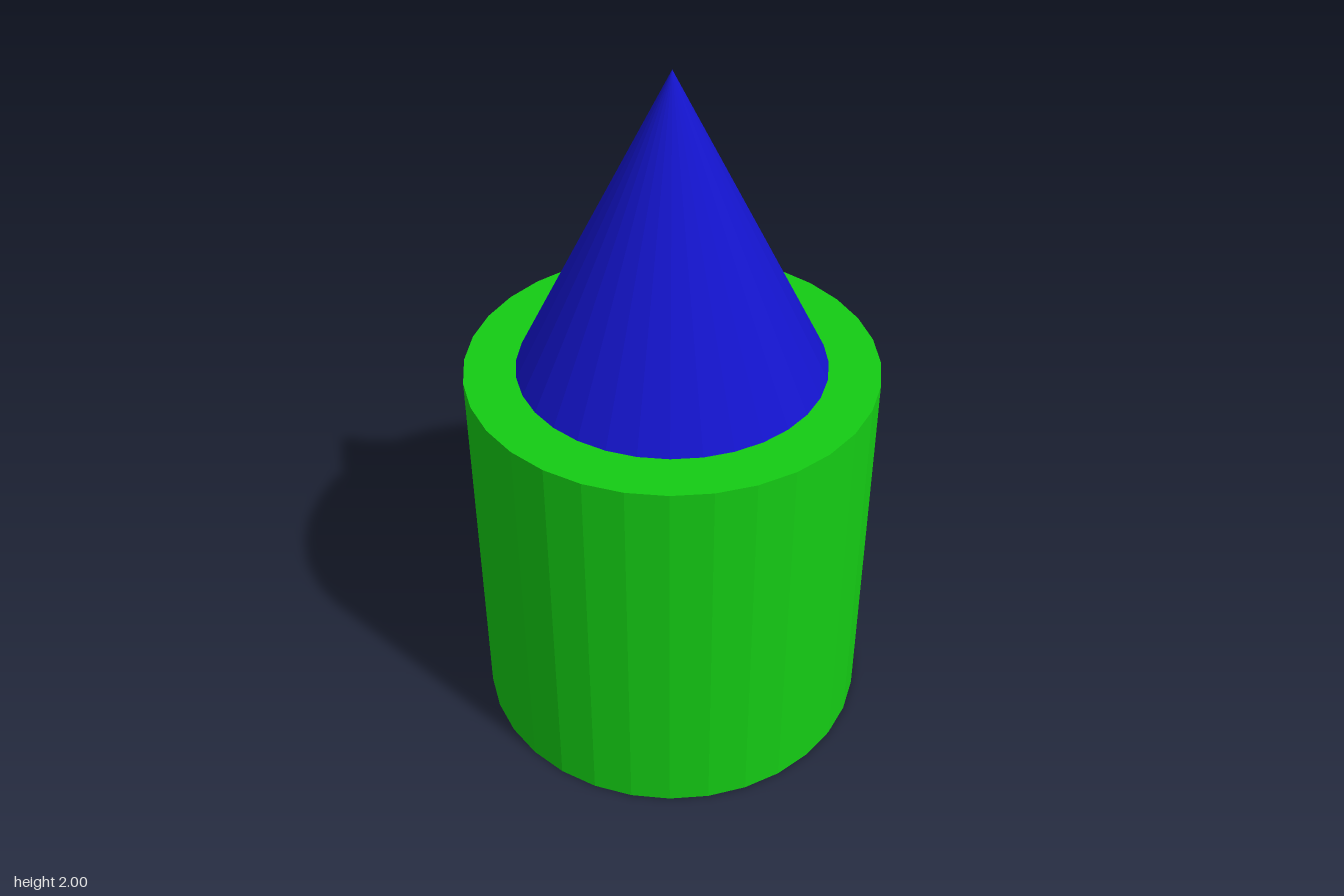
import * as THREE from 'three';

const SIDES = 32;
const BODY_RADIUS = 4 / 7;
const BODY_HEIGHT = 8 / 7;
const CONE_RADIUS = 3 / 7;
const CONE_HEIGHT = 6 / 7;

// Adds a faceted part whose base rests at the given height.
function addPart(group, name, geometry, height, baseY, color) {
  const material = new THREE.MeshStandardMaterial({ color, flatShading: true });
  const mesh = new THREE.Mesh(geometry, material);
  mesh.name = name;
  mesh.position.y = baseY + height / 2;
  group.add(mesh);
}

export function createModel() {
  const model = new THREE.Group();
  model.name = 'coneOnCylinder';

  // Green drum standing on the ground
  const body = new THREE.CylinderGeometry(BODY_RADIUS, BODY_RADIUS, BODY_HEIGHT, SIDES);
  addPart(model, 'cylinderBody', body, BODY_HEIGHT, 0, 0x14cc14);

  // Blue cone centred on top of the drum
  const cone = new THREE.ConeGeometry(CONE_RADIUS, CONE_HEIGHT, SIDES);
  addPart(model, 'coneTop', cone, CONE_HEIGHT, BODY_HEIGHT, 0x1414cc);

  return model;
}
